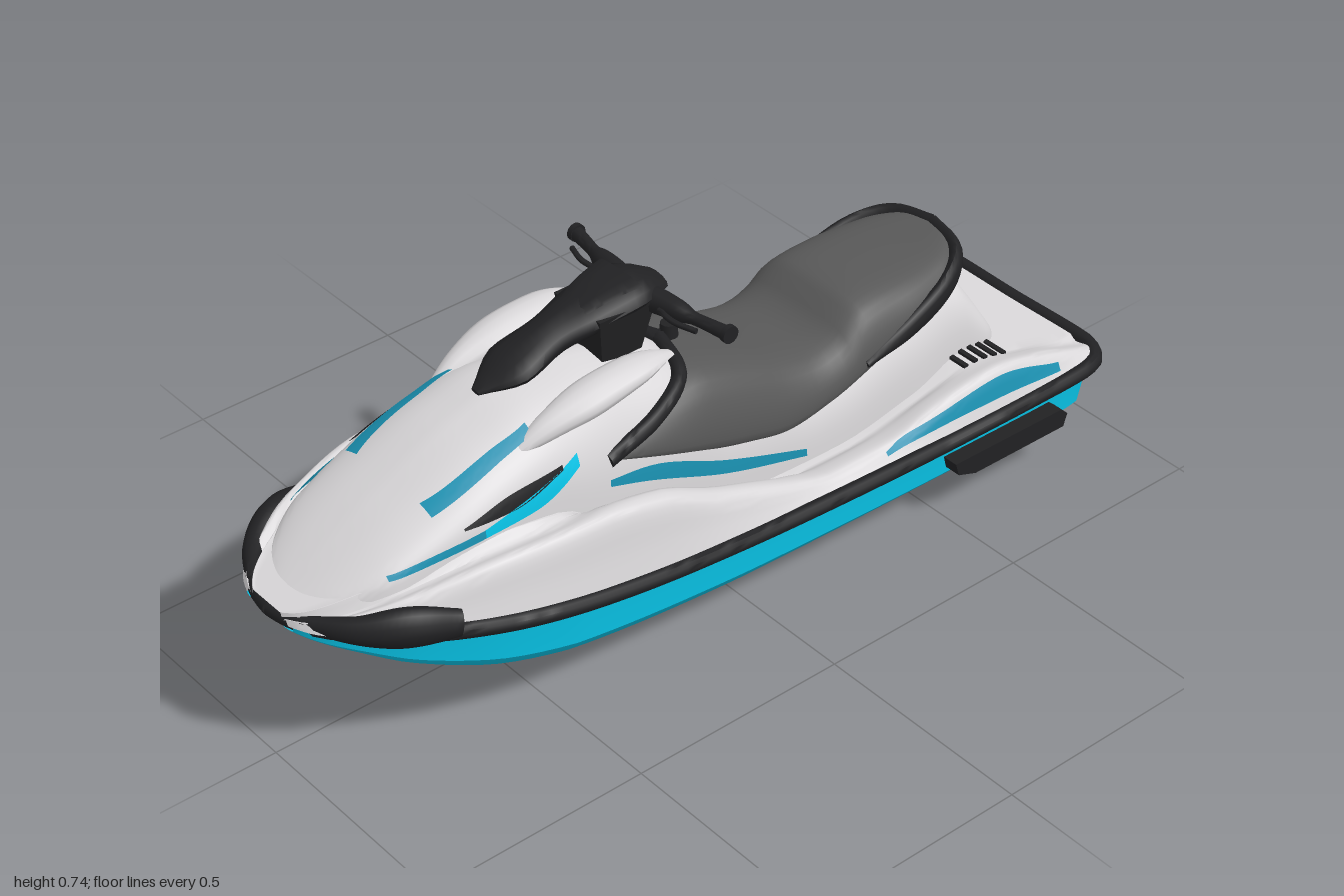
import * as THREE from 'three';
import { toCreasedNormals } from 'three/addons/utils/BufferGeometryUtils.js';

const V = (x, y, z) => new THREE.Vector3(x, y, z);
const paint = (name, color) => new THREE.MeshStandardMaterial({ name, color, side: THREE.DoubleSide });

// Smooth monotone curve through [x, value] points
function prof(...p) {
  const d = i => (p[i + 1][1] - p[i][1]) / (p[i + 1][0] - p[i][0]);
  const last = p.length - 1;
  const m = p.map((_, i) => {
    if (i === 0) return d(0);
    if (i === last) return d(last - 1);
    const a = d(i - 1), b = d(i);
    return a * b > 0 ? 2 * a * b / (a + b) : 0;
  });
  return x => {
    x = Math.min(Math.max(x, p[0][0]), p[last][0]);
    let i = 0;
    while (i < last - 1 && x > p[i + 1][0]) i++;
    const h = p[i + 1][0] - p[i][0], t = (x - p[i][0]) / h, t2 = t * t, t3 = t2 * t;
    return (2 * t3 - 3 * t2 + 1) * p[i][1] + (t3 - 2 * t2 + t) * h * m[i]
      + (3 * t2 - 2 * t3) * p[i + 1][1] + (t3 - t2) * h * m[i + 1];
  };
}

// Surface from fn(u, v), both 0..1
function grid(fn, nu, nv, flip = false, crease = 0.7) {
  const pos = [], idx = [];
  for (let i = 0; i <= nu; i++) for (let j = 0; j <= nv; j++) pos.push(...fn(i / nu, j / nv).toArray());
  for (let i = 0; i < nu; i++) for (let j = 0; j < nv; j++) {
    const a = i * (nv + 1) + j, b = a + 1, c = a + nv + 1, e = c + 1;
    idx.push(...(flip ? [a, c, b, b, c, e] : [a, b, c, b, e, c]));
  }
  const g = new THREE.BufferGeometry();
  g.setAttribute('position', new THREE.Float32BufferAttribute(pos, 3));
  g.setIndex(idx);
  return toCreasedNormals(g, crease);
}

// Symmetric skin along x from a half section, denser near the ends
const skin = (half, x0, x1, nu, nv, flip, crease) => grid((u, v) => {
  const s = v * 2 - 1, p = half(x0 + (x1 - x0) * (0.5 - 0.5 * Math.cos(Math.PI * u)), Math.abs(s));
  return V(p.x, p.y, s < 0 ? -p.z : p.z);
}, nu, nv, flip, crease);

// Half section given as [z, y] points, smooth or straight
const section = (points, smooth = true) => (x, v) => {
  const pts = points(x);
  if (smooth) {
    const q = new THREE.SplineCurve(pts.map(p => new THREE.Vector2(...p))).getPoint(v);
    return V(x, q.y, q.x);
  }
  const n = pts.length - 1, i = Math.min(Math.floor(v * n + 1e-6), n - 1), t = v * n - i;
  return V(x, pts[i][1] + (pts[i + 1][1] - pts[i][1]) * t, pts[i][0] + (pts[i + 1][0] - pts[i][0]) * t);
};

// Capped elliptical sweep along a path; radii are spread evenly along it
function sweep(points, ry, rz, side = 1, nu = 24, nv = 12) {
  const path = new THREE.CatmullRomCurve3(points.map(p => V(...p)));
  const spread = r => Array.isArray(r) ? prof(...r.map((a, i) => [i / (r.length - 1), a])) : () => r;
  const fy = spread(ry), fz = spread(rz);
  return grid((u, v) => {
    const i = Math.round(u * nu), t = Math.min(Math.max((i - 1) / (nu - 2), 0), 1);
    const k = i === 0 || i === nu ? 0 : 1, a = -2 * Math.PI * v;
    const c = path.getPointAt(t), T = path.getTangentAt(t);
    const s = T.clone().cross(V(0, 1, 0)).normalize(), up = s.clone().cross(T);
    c.addScaledVector(s, Math.cos(a) * fz(t) * k).addScaledVector(up, Math.sin(a) * fy(t) * k);
    return V(c.x, c.y, c.z * side);
  }, nu, nv, side < 0, 0.9);
}

// Thin painted plate on a skin; rows are [x, lower y, upper y]
function decal(half, rows, side, vMin = 0) {
  const lo = prof(...rows.map(r => [r[0], r[1]])), hi = prof(...rows.map(r => [r[0], r[2]]));
  const find = (x, y) => {
    let a = vMin, b = 1;
    for (let i = 0; i < 18; i++) { const m = (a + b) / 2; if (half(x, m).y > y) a = m; else b = m; }
    return a;
  };
  const x0 = rows[0][0], x1 = rows[rows.length - 1][0];
  return grid((u, w) => {
    const x = x0 + (x1 - x0) * u, a = find(x, hi(x)), v = a + (find(x, lo(x)) - a) * w;
    const p = half(x, v), e = 0.004;
    const dx = half(x + e, v).sub(half(x - e, v)), dv = half(x, Math.min(v + e, 1)).sub(half(x, v - e));
    p.addScaledVector(dv.cross(dx).normalize(), 0.005);
    return V(p.x, p.y, p.z * side);
  }, 24, 4, side < 0);
}

export function createModel() {
  const model = new THREE.Group();
  const white = paint('white shell', 0xd9d7d9), cyan = paint('cyan hull', 0x08c8ec);
  const teal = paint('teal stripe', 0x1a90b0), grey = paint('grey seat', 0x585858), black = paint('black trim', 0x212123);
  const add = (name, geo, mat) => {
    const mesh = new THREE.Mesh(geo, mat);
    mesh.name = name;
    model.add(mesh);
    return mesh;
  };
  const pair = (name, make, mat) => [1, -1].forEach(s => add((s > 0 ? 'left ' : 'right ') + name, make(s), mat));

  // Plan width, rail height and keel line
  const w = prof([-1, 0.02], [-0.99, 0.07], [-0.96, 0.13], [-0.9, 0.185], [-0.8, 0.245], [-0.6, 0.3], [-0.4, 0.32],
    [-0.2, 0.325], [0.6, 0.317], [0.85, 0.313], [0.94, 0.305], [0.98, 0.28], [1, 0.235]);
  const r = prof([-1, 0.355], [-0.9, 0.35], [-0.75, 0.325], [-0.5, 0.285], [-0.2, 0.25], [0.1, 0.225], [0.5, 0.205], [1, 0.195]);
  const keel = prof([-1, 0.345], [-0.9, 0.27], [-0.8, 0.2], [-0.6, 0.1], [-0.4, 0.05], [-0.2, 0.025], [0, 0.012], [0.95, 0.002]);

  // Hull with stepped strakes and a hollowed stern
  const strakes = [[0, 0], [0.26, 0.1], [0.29, 0.065], [0.52, 0.2], [0.55, 0.17], [0.8, 0.34], [0.89, 0.5], [0.9, 0.75], [0.92, 1]];
  const hullLine = section(x => strakes.map(([a, b]) => [a * Math.min(w(x), 0.315), keel(x) + b * (r(x) - keel(x))]), false);
  const rake = p => {
    p.x += Math.max(0, (p.x - 0.85) / 0.09) * (4 * (p.y - 0.1) ** 2 - 0.03);
    return p;
  };
  const hull = (x, v) => rake(hullLine(x, v));
  add('hull', skin(hull, -0.985, 0.94, 64, 16, true, 0.5), cyan);
  add('transom', grid((u, v) => {
    const s = v * 2 - 1, p = hullLine(0.94, Math.abs(s));
    return rake(V(0.94, p.y + (r(0.94) - p.y) * u, p.z * Math.sign(s) * (1 - u)));
  }, 8, 16, true), cyan);
  add('stern underside', grid((u, v) => V(0.5 + 0.48 * u, r(0.5 + 0.48 * u) - 0.008, (v * 2 - 1) * w(0.5 + 0.48 * u) * 0.96), 16, 2, true), black);

  // Deck with gunwales and footwells
  const gun = prof([-1, 0.365], [-0.9, 0.385], [-0.8, 0.41], [-0.6, 0.435], [-0.4, 0.435], [-0.25, 0.41], [-0.1, 0.345], [0, 0.31],
    [0.1, 0.275], [0.2, 0.25], [0.35, 0.25], [0.5, 0.28], [0.65, 0.295], [0.8, 0.265], [0.9, 0.23], [0.98, 0.2]);
  const floor = prof([-1, 0.37], [-0.9, 0.4], [-0.8, 0.425], [-0.6, 0.445], [-0.45, 0.43], [-0.35, 0.37], [-0.25, 0.3], [0, 0.24],
    [0.3, 0.225], [0.5, 0.255], [0.65, 0.28], [0.8, 0.245], [0.98, 0.2]);
  const deck = section(x => {
    const W = w(x), g = gun(x), f = floor(x), b = r(x);
    return [[0, f], [0.58 * W, f], [0.64 * W, f], [0.71 * W, g - 0.01], [0.82 * W, g], [0.875 * W, g - 0.02 * Math.min(1, (g - b) * 10)],
      [0.91 * W, b + (g - b) * 0.45], [0.96 * W, b]];
  });
  add('deck', skin(deck, -0.99, 0.98, 80, 48), white);

  // Hood and seat pedestal
  const top = prof([-0.97, 0.37], [-0.85, 0.445], [-0.74, 0.505], [-0.55, 0.588], [-0.42, 0.62], [-0.3, 0.62], [-0.2, 0.6], [-0.1, 0.575],
    [-0.04, 0.535], [0, 0.49], [0.15, 0.44], [0.25, 0.405], [0.33, 0.41], [0.45, 0.445], [0.6, 0.47], [0.68, 0.45], [0.72, 0.4], [0.77, 0.32], [0.84, 0.225]);
  const wide = prof([-0.97, 0.04], [-0.9, 0.12], [-0.8, 0.17], [-0.6, 0.195], [-0.4, 0.2], [-0.2, 0.19], [0.5, 0.182],
    [0.65, 0.16], [0.75, 0.15], [0.8, 0.115], [0.84, 0.03]);
  const body = section(x => {
    const t = top(x), b = wide(x), e = floor(x) - 0.02, h = t - e;
    return [[0, t], [0.45 * b, t - 0.06 * h], [0.78 * b, t - 0.25 * h], [0.95 * b, t - 0.55 * h], [b, e]];
  });
  add('hood and pedestal', skin(body, -0.96, 0.84, 90, 32), white);
  pair('hood wing', s => sweep([[-0.52, 0.55, 0.13], [-0.4, 0.595, 0.14], [-0.26, 0.622, 0.142], [-0.17, 0.628, 0.14], [-0.12, 0.62, 0.135]],
    [0.004, 0.026, 0.032, 0.024, 0.004], [0.008, 0.03, 0.046, 0.042, 0.012], s), white);

  // Seat with its front and rear trim
  const under = prof([-0.3, 0.47], [-0.1, 0.4], [0.05, 0.355], [0.17, 0.33], [0.28, 0.345], [0.41, 0.385], [0.6, 0.44], [0.72, 0.48]);
  const over = prof([-0.3, 0.49], [-0.15, 0.52], [-0.05, 0.54], [0, 0.53], [0.1, 0.495], [0.2, 0.455], [0.27, 0.44], [0.33, 0.455],
    [0.38, 0.5], [0.45, 0.508], [0.6, 0.505], [0.72, 0.512]);
  const seatWide = prof([-0.3, 0.18], [0, 0.182], [0.2, 0.18], [0.5, 0.17], [0.62, 0.145], [0.69, 0.095], [0.72, 0.02]);
  const seat = section(x => {
    const u = over(x), s = under(x), k = u - s, b = seatWide(x);
    return [[0, u], [0.5 * b, u - 0.03 * k], [0.8 * b, u - 0.2 * k], [0.97 * b, u - 0.6 * k], [b, s], [0.9 * b, s - 0.015]];
  });
  add('seat', skin(seat, -0.3, 0.72, 60, 32), grey);
  pair('seat front trim', s => sweep([[-0.31, 0.472, 0.175], [-0.18, 0.505, 0.162], [-0.08, 0.535, 0.115], [-0.035, 0.543, 0]], 0.018, 0.016, s), black);
  pair('rear grab rail', s => sweep([[0.37, 0.388, 0.168], [0.5, 0.42, 0.165], [0.62, 0.46, 0.145], [0.69, 0.483, 0.097], [0.715, 0.492, 0]],
    [0.01, 0.026, 0.03, 0.03], 0.016, s), black);
  add('seat cap', new THREE.CylinderGeometry(0.017, 0.02, 0.03, 16), black).position.set(-0.01, 0.555, 0);

  // Bumper all round, with thicker bow guards
  const rim = [[-0.982, r(-1), 0]];
  for (let i = 1; i < 24; i++) {
    const x = -Math.cos(Math.PI * i / 24);
    rim.push([x * 0.982, r(x), w(x) - 0.014]);
  }
  rim.push([0.982, r(1), 0.22], [0.982, r(1), 0]);
  pair('bumper', s => sweep(rim, [0.019, 0.018, 0.017, 0.017, 0.017], 0.018, s, 90), black);
  pair('bow guard', s => sweep([[-0.97, 0.36, 0.08], [-0.9, 0.36, 0.168], [-0.81, 0.357, 0.222], [-0.73, 0.342, 0.252]],
    [0.015, 0.028, 0.043, 0.03], [0.012, 0.024, 0.034, 0.024], s), black);

  // Side sponsons
  const fin = new THREE.Shape([[0.5, 0.152], [0.81, 0.148], [0.83, 0.13], [0.82, 0.1], [0.56, 0.102], [0.51, 0.12]].map(p => new THREE.Vector2(...p)));
  pair('sponson', s => new THREE.ExtrudeGeometry(fin, { depth: 0.055, bevelEnabled: false }).translate(0, 0, s > 0 ? 0.265 : -0.32), black);

  // Steering cover, column and handlebars
  add('steering cover', sweep([[-0.49, 0.622, 0], [-0.38, 0.655, 0], [-0.29, 0.68, 0], [-0.18, 0.7, 0], [-0.11, 0.705, 0], [-0.045, 0.692, 0]],
    [0.006, 0.028, 0.034, 0.035, 0.035, 0.015], [0.012, 0.062, 0.05, 0.068, 0.075, 0.04]), black);
  const column = new THREE.CylinderGeometry(0.1, 0.07, 0.12, 4).rotateY(Math.PI / 4);
  add('steering column', toCreasedNormals(column, 0.5), black).position.set(-0.17, 0.645, 0);
  add('visor', sweep([[-0.29, 0.7, 0], [-0.2, 0.73, 0], [-0.13, 0.74, 0]], 0.007, [0.03, 0.05, 0.064]), black);
  pair('handlebar', s => sweep([[-0.11, 0.69, 0], [-0.09, 0.69, 0.07], [-0.077, 0.688, 0.14], [-0.073, 0.687, 0.155], [-0.062, 0.685, 0.2], [-0.055, 0.684, 0.235]],
    [0.03, 0.028, 0.026, 0.022, 0.013, 0.014, 0.016], [0.03, 0.028, 0.025, 0.022, 0.013, 0.014, 0.016], s), black);
  pair('grip end', s => new THREE.CylinderGeometry(0.019, 0.019, 0.012, 16).rotateX(Math.PI / 2).translate(-0.055, 0.685, s * 0.233), black);
  pair('lever', s => sweep([[-0.11, 0.69, 0.09], [-0.115, 0.69, 0.14], [-0.1, 0.688, 0.19]], 0.006, 0.006, s, 12, 8), black);

  // Painted stripes, lamps and deck vents
  pair('pedestal stripe', s => decal(body, [[-0.32, 0.425, 0.44], [-0.2, 0.38, 0.415], [0, 0.3, 0.33], [0.2, 0.245, 0.262]], s), teal);
  pair('stern stripe', s => decal(deck, [[0.33, 0.236, 0.242], [0.5, 0.243, 0.268], [0.65, 0.24, 0.282], [0.83, 0.222, 0.24]], s, 0.6), teal);
  pair('hood swoosh tail', s => decal(body, [[-0.82, 0.428, 0.436], [-0.72, 0.442, 0.456], [-0.62, 0.452, 0.469]], s), teal);
  pair('hood swoosh', s => decal(body, [[-0.62, 0.452, 0.469], [-0.5, 0.462, 0.498], [-0.39, 0.505, 0.53]], s), cyan);
  pair('hood lamp', s => decal(body, [[-0.66, 0.48, 0.484], [-0.55, 0.483, 0.513], [-0.43, 0.515, 0.525]], s), black);
  pair('hood top stripe', s => decal(body, [[-0.7, 0.503, 0.515], [-0.57, 0.55, 0.564], [-0.46, 0.583, 0.595]], s), teal);
  for (let i = 0; i < 5; i++) {
    const x = 0.63 + i * 0.028;
    pair('deck vent', s => new THREE.BoxGeometry(0.011, 0.008, 0.065).translate(x, floor(x) + 0.002, s * 0.175), black);
  }
  return model;
}
